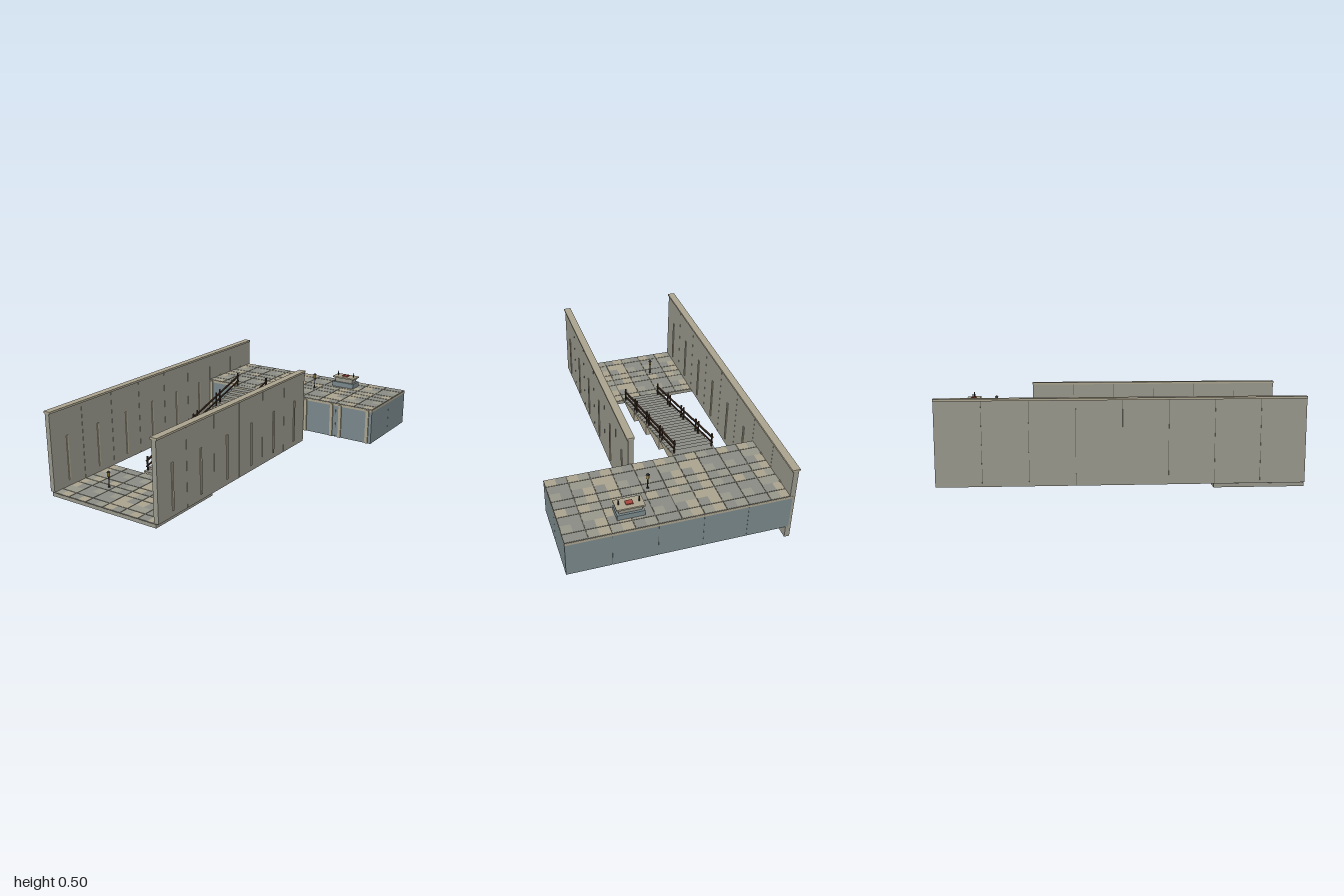
import * as THREE from 'three';

const mat = (color) => new THREE.MeshStandardMaterial({ color, flatShading: true });
const STONE = mat(0x98978b), BEIGE = mat(0xaaa38e), BLUE = mat(0x78878a), GROUT = mat(0x5c5b53),
  GREY = mat(0x8b8c84), WOOD = mat(0x3a2a20), IRON = mat(0x2c2c2e), GLOW = mat(0xd0a850), RED = mat(0xa8483f);

const MX = 0.248, MZ = 0.25, X0 = -0.61; // floor module size and left edge
const FLOOR = 0.025, DECK = 0.323;

// Box given by its minimum and maximum corners
function box(parent, name, m, x0, x1, y0, y1, z0, z1) {
  const mesh = new THREE.Mesh(new THREE.BoxGeometry(x1 - x0, y1 - y0, z1 - z0), m);
  mesh.position.set((x0 + x1) / 2, (y0 + y1) / 2, (z0 + z1) / 2);
  mesh.name = name;
  parent.add(mesh);
  return mesh;
}

function group(parent, name) {
  const g = new THREE.Group();
  g.name = name;
  parent.add(g);
  return g;
}

// Paving: each module has two columns of slabs in three rows, in mixed stone
function paving(parent, nx, nz, zStart, top) {
  const g = group(parent, 'paving');
  const tones = [BEIGE, STONE, GREY, STONE, GREY, BEIGE, GREY];
  const gap = 0.003, xs = [0, 0.25, 0.5, 0.75, 1], zs = [0, 0.25, 0.5, 0.75, 1];
  for (let i = 0; i < nx; i++) for (let j = 0; j < nz; j++)
    for (let a = 0; a < 4; a++) for (let b = 0; b < 4; b++) {
      const x = X0 + i * MX, z = zStart + j * MZ;
      box(g, 'pavingSlab', tones[(a * 3 + b * 5 + a * b + (i % 2)) % 7],
        x + xs[a] * MX + (a % 2 ? 0 : gap), x + xs[a + 1] * MX - (a % 2 ? gap : 0),
        top - 0.006, top,
        z + zs[b] * MZ + (b === 2 ? 0 : gap), z + zs[b + 1] * MZ - (b === 1 ? 0 : gap));
    }
}

// Panelled wall with coping and a slim rib on the +x face of each panel
function wall(parent, name, x, zBack, panels) {
  const g = group(parent, name);
  for (let i = 0; i < panels; i++) {
    const z = zBack + i * MZ;
    box(g, 'wallPanel', STONE, x - 0.015, x + 0.015, FLOOR, 0.488, z + 0.001, z + MZ - 0.001);
    box(g, 'wallCoping', BEIGE, x - 0.022, x + 0.022, 0.488, 0.5, z, z + MZ);
    box(g, 'wallRib', BEIGE, x + 0.014, x + 0.02, 0.06, 0.33, z + 0.118, z + 0.132);
  }
  box(g, 'wallCore', GROUT, x - 0.013, x + 0.013, FLOOR + 0.001, 0.488, zBack + 0.002, zBack + panels * MZ - 0.002);
}

// Lantern on a thin pole
function lamp(parent, x, y, z) {
  const g = group(parent, 'lamp');
  g.position.set(x, y, z);
  const part = (name, m, rTop, rBottom, h, yc, sides) => {
    const mesh = new THREE.Mesh(new THREE.CylinderGeometry(rTop, rBottom, h, sides), m);
    mesh.position.y = yc;
    mesh.name = name;
    g.add(mesh);
  };
  part('lampPole', IRON, 0.003, 0.003, 0.07, 0.035, 8);
  part('lampFoot', IRON, 0.005, 0.008, 0.006, 0.003, 8);
  part('lampGlass', GLOW, 0.009, 0.008, 0.024, 0.08, 8);
  part('lampTray', IRON, 0.009, 0.007, 0.004, 0.067, 8);
  part('lampRoof', IRON, 0.003, 0.012, 0.009, 0.0955, 8);
}

export function createModel() {
  const model = new THREE.Group();
  model.name = 'terraceWithStairs';

  // Lower floor
  const lower = group(model, 'lowerFloor');
  box(lower, 'floorSlab', STONE, X0, X0 + 3 * MX, 0, FLOOR - 0.004, 0.5, 1);
  box(lower, 'floorJoints', GROUT, X0 + 0.001, X0 + 3 * MX - 0.001, FLOOR - 0.004, FLOOR - 0.002, 0.501, 0.999);
  paving(lower, 3, 2, 0.5, FLOOR);

  // Raised deck of modular blocks
  const deck = group(model, 'upperDeck');
  for (let i = 0; i < 5; i++) for (let j = 0; j < 2; j++) {
    const x = X0 + i * MX, z = -1 + j * MZ;
    box(deck, 'deckBlock', BLUE, x + 0.0007, x + MX - 0.0007, 0.1, 0.305, z + 0.0007, z + MZ - 0.0007);
  }
  box(deck, 'deckCore', GROUT, X0 + 0.002, X0 + 5 * MX - 0.002, 0.102, 0.305, -0.998, -0.502);
  box(deck, 'deckEdge', BEIGE, X0, X0 + 5 * MX, 0.305, DECK - 0.004, -1, -0.5);
  box(deck, 'deckJoints', GROUT, X0 + 0.001, X0 + 5 * MX - 0.001, DECK - 0.004, DECK - 0.002, -0.999, -0.501);
  paving(deck, 5, 2, -1, DECK);
  // Front pilasters, a pair for each block
  for (let i = 0; i < 5; i++) for (const off of [0.03, MX - 0.03]) {
    const x = X0 + i * MX + off;
    box(deck, 'pilaster', BEIGE, x - 0.01, x + 0.01, 0.1, 0.315, -0.502, -0.494);
  }

  // Side walls
  wall(model, 'leftHandWall', -0.61, -1, 8);
  wall(model, 'rightHandWall', 0.135, -0.5, 6);

  // Stairs: four flat-bottomed flights of six steps
  const stairs = group(model, 'stairs');
  const xa = X0 + MX, xb = X0 + 2 * MX, rise = (DECK - FLOOR) / 24, run = 1 / 24;
  for (let i = 0; i < 24; i++) {
    const base = FLOOR + Math.floor(i / 6) * 6 * rise;
    const top = FLOOR + (i + 1) * rise, z = 0.5 - i * run;
    box(stairs, 'step', BEIGE, xa, xb, base, top - 0.003, z - run, z);
    box(stairs, 'tread', GREY, xa, xb, top - 0.003, top, z - run, z + 0.003);
  }

  // Railings: two posts per flight and two sloping rails
  const slope = Math.atan2(DECK - FLOOR, 1), length = Math.hypot(1, DECK - FLOOR);
  for (const x of [xa + 0.012, xb - 0.012]) {
    const rail = group(model, 'railing');
    for (let f = 0; f < 4; f++) for (const s of [0, 5]) {
      const i = f * 6 + s, y = FLOOR + (i + 1) * rise, z = 0.5 - (i + 0.5) * run;
      box(rail, 'railPost', WOOD, x - 0.004, x + 0.004, y, y + 0.088, z - 0.004, z + 0.004);
    }
    for (const [h, w] of [[0.035, 0.008], [0.07, 0.01]]) {
      const bar = new THREE.Mesh(new THREE.BoxGeometry(w, 0.008, length * 0.98), WOOD);
      bar.position.set(x, (FLOOR + DECK) / 2 + h, 0);
      bar.rotation.x = slope;
      bar.name = 'handrail';
      rail.add(bar);
    }
  }

  // Stone altar on the deck
  const altar = group(model, 'altar');
  box(altar, 'altarBase', BLUE, 0.183, 0.333, DECK, 0.355, -0.918, -0.832);
  box(altar, 'altarBody', STONE, 0.195, 0.321, 0.355, 0.382, -0.905, -0.845);
  box(altar, 'altarTop', BEIGE, 0.181, 0.335, 0.382, 0.391, -0.916, -0.834);
  box(altar, 'altarCloth', RED, 0.238, 0.278, 0.391, 0.397, -0.89, -0.86);
  for (const x of [0.203, 0.315]) {
    const candle = new THREE.Mesh(new THREE.CylinderGeometry(0.003, 0.004, 0.03, 8), IRON);
    candle.position.set(x, 0.406, -0.875);
    candle.name = 'candle';
    altar.add(candle);
  }

  // Lamps
  lamp(model, -0.39, FLOOR, 0.775);
  lamp(model, 0.107, DECK, -0.72);

  return model;
}
